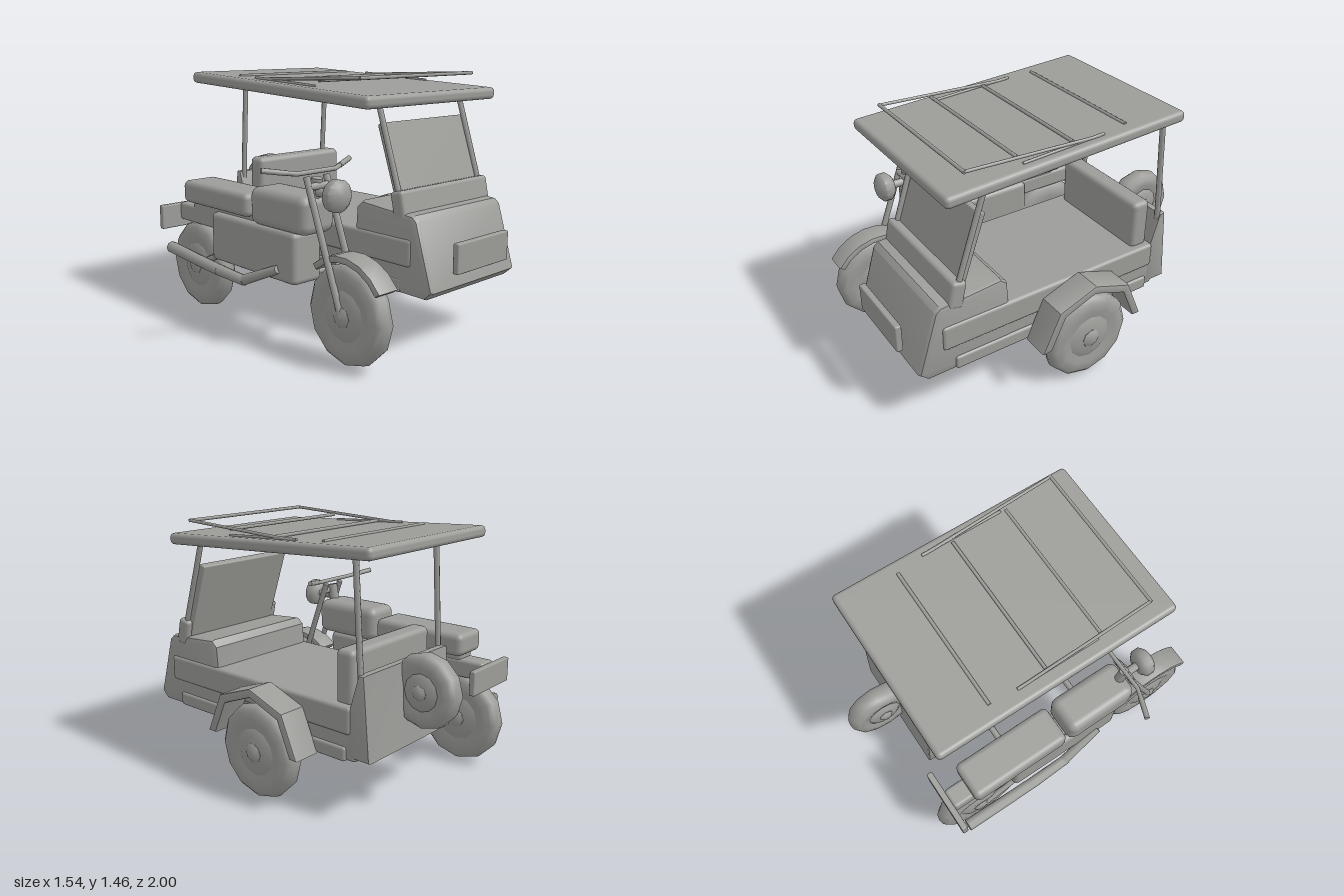
import * as THREE from 'three';
import { toCreasedNormals } from 'three/addons/utils/BufferGeometryUtils.js';
import { RoundedBoxGeometry } from 'three/addons/geometries/RoundedBoxGeometry.js';

export function createModel() {
  const model = new THREE.Group();
  model.name = 'sidecarTricycle';
  const grey = new THREE.MeshStandardMaterial({ color: 0x9c9c99 });
  grey.name = 'plainGrey';
  const V = (p) => new THREE.Vector3(...p);

  const add = (name, geometry, parent = model) => {
    const mesh = new THREE.Mesh(geometry, grey);
    mesh.name = name;
    parent.add(mesh);
    return mesh;
  };
  // Box given by its extents, with softly rounded edges
  const box = (name, [x0, x1], [y0, y1], [z0, z1], r = 0.02) => {
    const mesh = add(name, new RoundedBoxGeometry(x1 - x0, y1 - y0, z1 - z0, 2, r));
    mesh.position.set((x0 + x1) / 2, (y0 + y1) / 2, (z0 + z1) / 2);
    return mesh;
  };
  // Straight round bar between two points
  const rod = (name, a, b, r, r2 = r) => {
    const p = V(a), q = V(b), d = q.clone().sub(p);
    const mesh = add(name, new THREE.CylinderGeometry(r2, r, d.length(), 8));
    mesh.position.copy(p).add(q).multiplyScalar(0.5);
    mesh.quaternion.setFromUnitVectors(new THREE.Vector3(0, 1, 0), d.normalize());
    return mesh;
  };
  // Side profile of [z, y] points stretched across x0..x1 with bevelled edges
  const profile = (name, points, x0, x1, bevel) => {
    const shape = new THREE.Shape(points.map(([z, y]) => new THREE.Vector2(z, y)));
    const g = new THREE.ExtrudeGeometry(shape, {
      depth: x1 - x0 - 2 * bevel, bevelEnabled: bevel > 0, bevelSize: bevel,
      bevelThickness: bevel, bevelOffset: -bevel, bevelSegments: 2, steps: 1,
    });
    g.rotateY(-Math.PI / 2);
    g.translate(x1 - bevel, 0, 0);
    return add(name, toCreasedNormals(g, 0.6));
  };

  // Wheels: rounded tyre, dished hub disc and axle cap, axis along x
  const tyreProfile = [[0.11, -0.045], [0.18, -0.06], [0.235, -0.058], [0.262, -0.035], [0.27, 0],
    [0.262, 0.035], [0.235, 0.058], [0.18, 0.06], [0.11, 0.045]].map((p) => new THREE.Vector2(...p));
  const hubProfile = [[0, -0.066], [0.1, -0.066], [0.135, -0.05], [0.135, 0.05], [0.1, 0.066], [0, 0.066]]
    .map((p) => new THREE.Vector2(...p));
  const capProfile = [[0, -0.083], [0.035, -0.083], [0.057, -0.068], [0.057, 0.068], [0.035, 0.083], [0, 0.083]]
    .map((p) => new THREE.Vector2(...p));
  const wheel = (name, x, y, z, size = 1) => {
    const group = new THREE.Group();
    group.name = name;
    const parts = [['tyre', tyreProfile, 12], ['hub', hubProfile, 12], ['axleCap', capProfile, 8]];
    for (const [part, points, sides] of parts) {
      const g = new THREE.LatheGeometry(points, sides).rotateZ(Math.PI / 2);
      add(part, toCreasedNormals(g, 0.9), group);
    }
    group.position.set(x, y, z);
    group.scale.set(1, size, size);
    model.add(group);
  };
  wheel('frontWheel', -0.468, 0.27, 0.695);
  wheel('rearWheel', -0.468, 0.27, -0.585);
  wheel('sidecarWheel', 0.682, 0.27, -0.04);
  wheel('spareWheel', 0.223, 0.66, -0.79, 0.76);

  // Sidecar body
  box('sidecarTub', [-0.14, 0.59], [0.325, 0.61], [-0.62, 0.7]);
  box('upperSideRail', [-0.155, 0.603], [0.47, 0.62], [-0.59, 0.81]);
  box('lowerSideRail', [-0.148, 0.605], [0.32, 0.4], [-0.56, 0.74], 0.015);
  profile('sidecarNose', [[0.38, 0.32], [0.9, 0.315], [0.95, 0.36], [0.84, 0.72], [0.81, 0.745],
    [0.45, 0.775], [0.41, 0.74]], -0.145, 0.592, 0.025);
  profile('sidecarTail', [[-0.55, 0.345], [-0.71, 0.345], [-0.672, 0.8], [-0.635, 0.8], [-0.575, 0.6]],
    -0.145, 0.592, 0.015);
  box('passengerBackrest', [-0.11, 0.56], [0.6, 0.9], [-0.575, -0.46], 0.03);
  box('frontPlate', [0.005, 0.445], [0.443, 0.608], [0.963, 1], 0.008);

  // Windscreen and its cowl
  const cowl = box('windscreenCowl', [-0.145, 0.595], [0.705, 0.86], [0.667, 0.752], 0.02);
  cowl.rotation.x = -0.22;
  const screen = box('windscreen', [-0.1, 0.56], [0.74, 1.21], [0.595, 0.64], 0.008);
  screen.rotation.x = -0.33;

  // Roof and its posts
  for (const x of [-0.112, 0.567]) {
    rod('frontRoofPost', [x, 0.74, 0.725], [x, 1.335, 0.53], 0.016);
    rod('rearRoofPost', [x, 0.76, -0.635], [x, 1.385, -0.598], 0.016);
  }
  const roof = box('roof', [-0.43, 0.612], [1.336, 1.402], [-0.72, 0.764], 0.025);
  roof.rotation.x = 0.048;

  // Roof rack
  rod('rackFrontBar', [-0.35, 1.445, 0.63], [0.56, 1.445, 0.63], 0.01);
  for (const x of [-0.345, 0.553]) {
    rod('rackSideBar', [x, 1.445, 0.63], [x, 1.41, -0.2], 0.009);
    rod('rackStrut', [x, 1.392, 0.3], [x, 1.418, -0.2], 0.008);
  }
  for (const [z, y] of [[0.32, 1.422], [-0.02, 1.412], [-0.36, 1.422]]) {
    rod('rackCrossBar', [-0.335, y, z], [0.53, y, z], 0.01);
  }

  // Angular mudguard over the sidecar wheel
  profile('sidecarMudguard', [[0.3, 0.32], [0.195, 0.555], [-0.04, 0.64], [-0.275, 0.555], [-0.375, 0.32],
    [-0.325, 0.32], [-0.24, 0.515], [-0.04, 0.59], [0.155, 0.515], [0.245, 0.32]], 0.598, 0.766, 0.01);

  // Curved mudguard hugging the front wheel
  const arc = (r, a0, a1) => Array.from({ length: 7 }, (_, i) => {
    const a = a0 + (a1 - a0) * i / 6;
    return [0.695 + r * Math.cos(a), 0.27 + r * Math.sin(a)];
  });
  profile('frontMudguard', [...arc(0.315, 0.6, 2.3), ...arc(0.278, 2.3, 0.6)], -0.535, -0.4, 0.008);

  // Motorcycle body
  box('fuelTank', [-0.582, -0.35], [0.64, 0.85], [0.015, 0.47], 0.05);
  box('riderSeat', [-0.582, -0.35], [0.665, 0.8], [-0.63, -0.008], 0.035);
  box('engineBlock', [-0.57, -0.37], [0.36, 0.645], [-0.36, 0.38], 0.03);
  box('seatSupport', [-0.53, -0.41], [0.56, 0.68], [-0.6, 0.3], 0.02);
  box('rearMudguard', [-0.53, -0.405], [0.53, 0.64], [-0.75, -0.33], 0.02);
  box('rearPlate', [-0.655, -0.27], [0.485, 0.632], [-0.782, -0.745], 0.008);

  // Swing arms, fork and steering
  for (const x of [-0.537, -0.4]) {
    rod('forkLeg', [x, 0.27, 0.7], [x, 0.95, 0.445], 0.018);
    rod('swingArm', [x, 0.27, -0.585], [x, 0.42, -0.25], 0.018);
  }
  rod('forkBridge', [-0.537, 0.9, 0.465], [-0.4, 0.9, 0.465], 0.02);
  rod('steeringNeck', [-0.468, 0.94, 0.45], [-0.468, 0.68, 0.4], 0.03);
  const bar = new THREE.CurvePath();
  const grips = [[-0.77, 1, 0.37], [-0.6, 0.972, 0.44], [-0.33, 0.972, 0.44], [-0.16, 1, 0.37]].map(V);
  for (let i = 0; i < 3; i++) bar.add(new THREE.LineCurve3(grips[i], grips[i + 1]));
  add('handlebar', new THREE.TubeGeometry(bar, 24, 0.013, 8));
  for (const [a, b] of [[0, 1], [3, 2]]) {
    rod('handGrip', grips[a].toArray(), grips[a].clone().lerp(grips[b], 0.7).toArray(), 0.015);
  }

  // Domed headlamp
  const lamp = [[0, -0.045], [0.06, -0.045], [0.085, -0.02], [0.085, 0.02], [0.06, 0.042], [0, 0.052]]
    .map((p) => new THREE.Vector2(...p));
  const headlamp = add('headlamp', toCreasedNormals(new THREE.LatheGeometry(lamp, 14).rotateX(Math.PI / 2), 0.9));
  headlamp.position.set(-0.467, 0.865, 0.595);
  rod('headlampBracket', [-0.467, 0.865, 0.56], [-0.467, 0.865, 0.46], 0.025);

  // Exhaust: slim front pipe widening into the silencer
  rod('exhaustPipe', [-0.57, 0.43, 0.25], [-0.6, 0.315, -0.02], 0.024, 0.03);
  rod('exhaustBend', [-0.6, 0.315, 0], [-0.608, 0.33, -0.25], 0.03, 0.034);
  rod('silencer', [-0.608, 0.328, -0.23], [-0.61, 0.37, -0.73], 0.034, 0.036);

  // Tubes joining the sidecar to the motorcycle, and the sidecar axle
  for (const z of [0.28, -0.28]) rod('linkTube', [-0.42, 0.375, z], [-0.12, 0.375, z], 0.02);
  rod('sidecarAxle', [0.5, 0.34, -0.04], [0.64, 0.27, -0.04], 0.03);

  return model;
}
